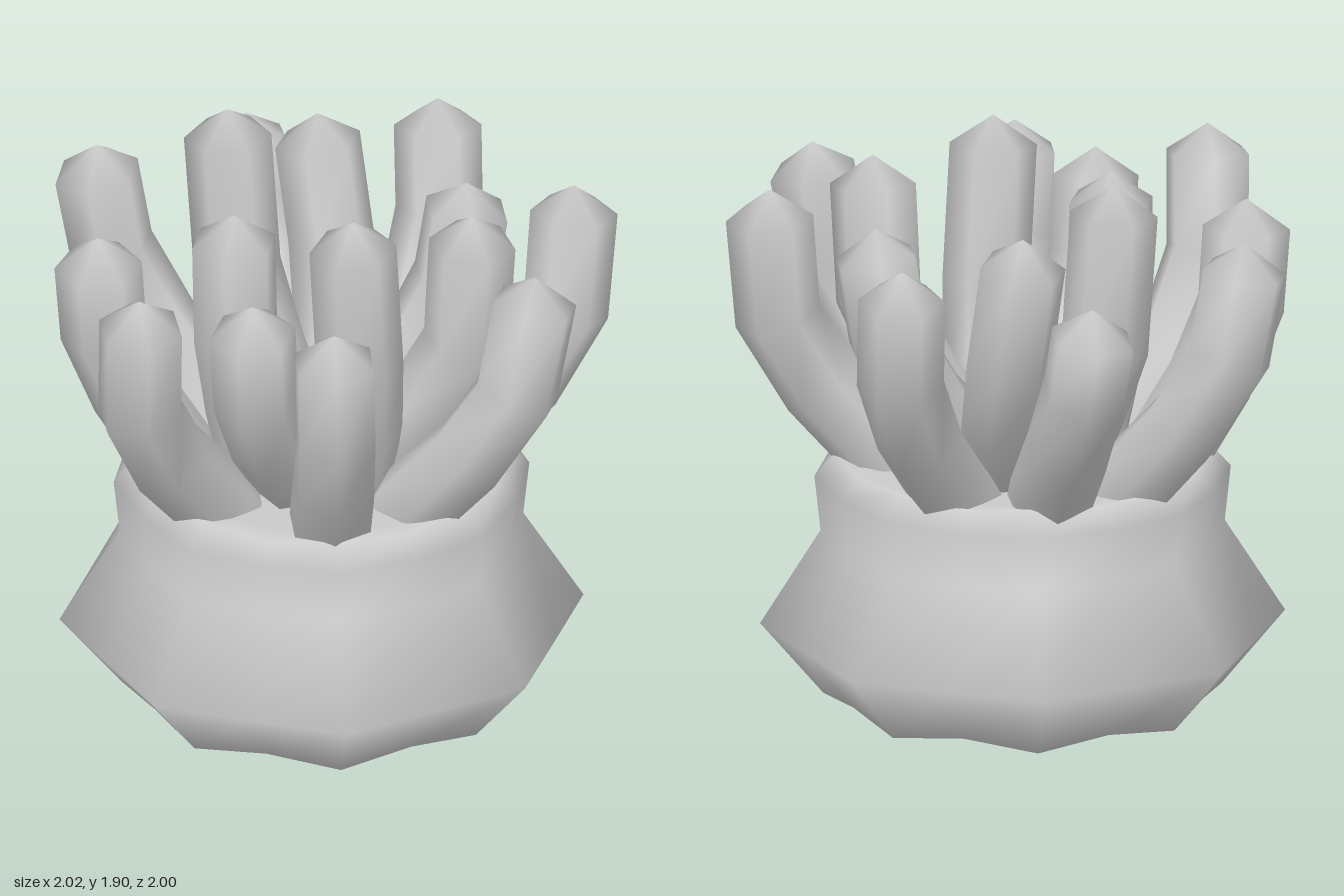
import * as THREE from 'three';
import { mergeVertices } from 'three/addons/utils/BufferGeometryUtils.js';

const material = new THREE.MeshStandardMaterial({ color: 0xcccccc, side: THREE.DoubleSide });

// Skin a stack of closed rings (arrays of Vector3) running upward, with smooth normals.
function loft(rings) {
  const n = rings[0].length;
  const index = [];
  for (let i = 0; i < rings.length - 1; i++) {
    for (let j = 0; j < n; j++) {
      const k = (j + 1) % n;
      const a = i * n + j, b = i * n + k, c = a + n, d = b + n;
      index.push(a, b, d, a, d, c);
    }
  }
  const geometry = new THREE.BufferGeometry().setFromPoints(rings.flat());
  geometry.setIndex(index);
  // Weld collapsed rings into one point so tips shade as rounded
  const welded = mergeVertices(geometry);
  welded.computeVertexNormals();
  return welded;
}

// Ring of 16 points: every second one is pulled in and raised or lowered a little.
function bodyRing([radius, y, pull, lift]) {
  return Array.from({ length: 16 }, (_, j) => {
    const a = j * Math.PI / 8, odd = j % 2;
    const r = radius * (odd ? pull : 1);
    return new THREE.Vector3(r * Math.sin(a), y + odd * lift, r * Math.cos(a) + 0.02);
  });
}

// Hexagonal arm rooted at a given angle and radius: it slants outward, bends upright,
// drifts sideways and ends in a blunt point.
function tentacle(degrees, root, tip) {
  const angle = THREE.MathUtils.degToRad(degrees);
  const out = new THREE.Vector3(Math.sin(angle), 0, Math.cos(angle));
  const reach = tip.dot(out);
  const sideways = tip.clone().setY(0).addScaledVector(out, -reach);
  // Outward share, sideways share, height
  const steps = [[-0.2, 0, 0.72], [0, 0, 0.83], [0.54, 0.25, 1.07], [0.93, 0.65, 1.33], [1, 1, tip.y - 0.1]];
  const path = steps.map(([t, s, y]) =>
    out.clone().multiplyScalar(root + (reach - root) * t).addScaledVector(sideways, s).setY(y));
  const rings = path.map((p, i) => {
    const along = path[Math.min(i + 1, path.length - 1)].clone().sub(path[Math.max(i - 1, 0)]).normalize();
    const v = out.clone().addScaledVector(along, -out.dot(along)).normalize();
    const u = along.clone().cross(v);
    return Array.from({ length: 6 }, (_, j) => {
      const a = j * Math.PI / 3;
      return p.clone().addScaledVector(u, 0.145 * Math.sin(a)).addScaledVector(v, 0.145 * Math.cos(a));
    });
  });
  rings.push(rings[0].map(() => tip.clone()));
  return loft(rings);
}

export function createModel() {
  const group = new THREE.Group();
  group.name = 'seaAnemone';
  const addMesh = (name, geometry) => {
    const mesh = new THREE.Mesh(geometry, material);
    mesh.name = name;
    group.add(mesh);
  };

  // Flared foot, waist and rolled rim: radius, height, inset and lift of alternate points
  const profile = [
    [0.66, 0, 0.95, 0.03], [0.87, 0.25, 0.925, 0], [0.67, 0.57, 0.96, 0],
    [0.69, 0.76, 0.97, 0], [0.62, 0.84, 0.97, -0.02], [0.5, 0.81, 1, 0], [0, 0.8, 1, 0],
  ];
  addMesh('body', loft(profile.map(bodyRing)));
  // Slightly hollow sole
  addMesh('underside', loft([[0, 0.035, 1, 0], [0.5, 0.03, 1, 0], profile[0]].map(bodyRing)));

  // Tentacles: root angle from the front in degrees, then the tip position
  const tentacles = {
    outer: [0.46, [
      [-4, 0.1, 1.75, 0.85], [42, 0.62, 1.78, 0.59], [98, 0.86, 1.73, -0.19], [140, 0.52, 1.63, -0.73],
      [178, -0.1, 1.73, -0.86], [222, -0.53, 1.69, -0.5], [261, -0.87, 1.76, -0.04], [315, -0.58, 1.715, 0.55],
    ]],
    inner: [0.19, [
      [30, 0.2, 1.81, 0.5], [78, 0.52, 1.7, 0.215], [114, 0.46, 1.78, -0.375], [158, 0.12, 1.905, -0.48],
      [238, -0.25, 1.78, -0.15], [290, -0.58, 1.7, 0.2], [345, -0.19, 1.89, 0.31],
    ]],
  };
  for (const [ring, [root, arms]] of Object.entries(tentacles)) {
    arms.forEach(([degrees, ...tip], i) => {
      addMesh(`${ring}Tentacle${i + 1}`, tentacle(degrees, root, new THREE.Vector3(...tip)));
    });
  }

  return group;
}
